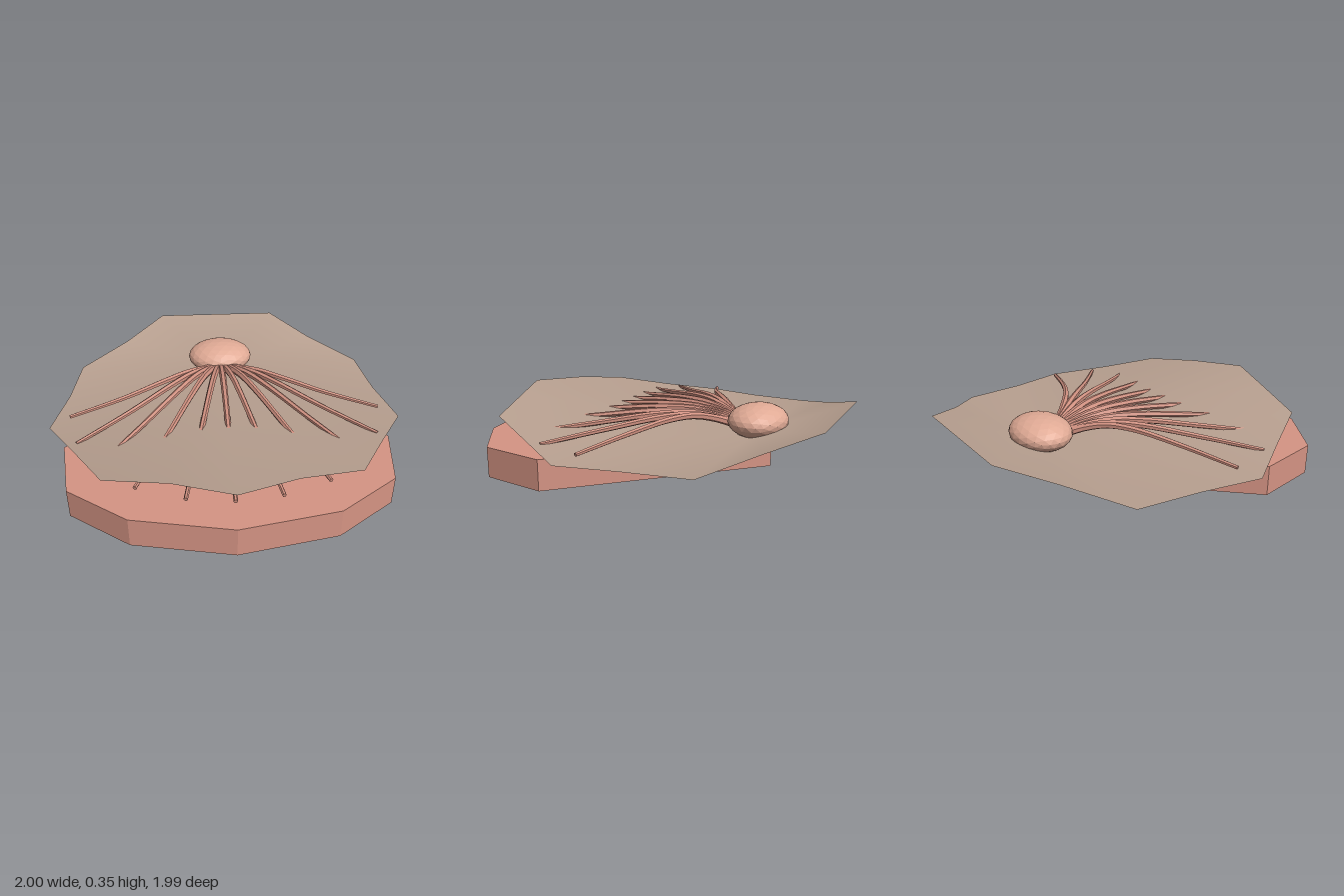
import * as THREE from 'three';

const mat = (color, extra = {}) => {
  const m = new THREE.MeshStandardMaterial({ color });
  return Object.assign(m, extra);
};

// mirrors a half outline (front to back) into a closed loop, sharing the points at x = 0
const mirrorLoop = (half) => [
  ...half,
  ...half.filter((p) => p[0] > 0).reverse().map(([x, ...rest]) => [-x, ...rest]),
];

function add(parent, name, geometry, material) {
  const mesh = new THREE.Mesh(geometry, material);
  mesh.name = name;
  parent.add(mesh);
  return mesh;
}

// thick wedge-shaped slab, a point at the back and a rounded fan at the front
function baseGeometry() {
  const loop = mirrorLoop([[0, 0.99], [0.52, 0.89], [0.84, 0.66], [0.9, 0.29], [0, -0.62]]);
  const shape = new THREE.Shape(loop.map(([x, z]) => new THREE.Vector2(x, -z)));
  return new THREE.ExtrudeGeometry(shape, { depth: 0.165, bevelEnabled: false }).rotateX(-Math.PI / 2);
}

// thin sheet fanned from the hub to a scalloped rim of x, y, z points
function sheetGeometry() {
  const rim = mirrorLoop([
    [0, 0.352, 0.96], [0.31, 0.332, 0.835], [0.65, 0.282, 0.73], [0.82, 0.23, 0.43],
    [1, 0.186, 0.13], [0.93, 0.184, -0.2], [0.89, 0.187, -0.55], [0.61, 0.255, -0.77],
    [0.375, 0.328, -1], [0, 0.328, -1],
  ]);
  const index = rim.flatMap((_, i) => [0, i + 1, ((i + 1) % rim.length) + 1]);
  const g = new THREE.BufferGeometry();
  g.setAttribute('position', new THREE.Float32BufferAttribute([0, 0.182, -0.53, ...rim.flat()], 3));
  g.setIndex(index);
  g.computeVertexNormals();
  return g;
}

// arched rod path: leaves the knob, rises, then flares out and down to its tip
function rodCurve(tipX, tipZ) {
  const plan = new THREE.QuadraticBezierCurve(
    new THREE.Vector2(tipX * 0.07, -0.42),
    new THREE.Vector2(tipX * 0.25, -0.16),
    new THREE.Vector2(tipX, tipZ),
  );
  const heights = [[0, 0.235], [0.15, 0.268], [0.32, 0.296], [0.5, 0.294], [0.75, 0.259], [1, 0.218]];
  return new THREE.CatmullRomCurve3(heights.map(([t, y]) => {
    const p = plan.getPoint(t);
    return new THREE.Vector3(p.x, y, p.y);
  }));
}

// tube whose rings shrink toward the tip
function taperedTube(curve, r0, r1, segments = 20, sides = 6) {
  const g = new THREE.TubeGeometry(curve, segments, r0, sides);
  const pos = g.attributes.position;
  const v = new THREE.Vector3();
  for (let i = 0; i < pos.count; i++) {
    const t = Math.floor(i / (sides + 1)) / segments;
    const c = curve.getPointAt(t);
    v.fromBufferAttribute(pos, i).sub(c).multiplyScalar(THREE.MathUtils.lerp(1, r1 / r0, t)).add(c);
    pos.setXYZ(i, v.x, v.y, v.z);
  }
  g.computeVertexNormals();
  return g;
}

export function createModel() {
  const model = new THREE.Group();
  model.name = 'fanOnBase';

  add(model, 'base', baseGeometry(), mat(0xd59484));
  add(model, 'sheet', sheetGeometry(), mat(0xb8a090, { side: THREE.DoubleSide }));

  // flattened faceted knob at the hub
  const knob = add(model, 'knob', new THREE.IcosahedronGeometry(1, 3), mat(0xe0aa95, { flatShading: true }));
  knob.scale.set(0.2, 0.095, 0.165);
  knob.position.set(0, 0.255, -0.54);

  // eleven rods spreading forward from the knob
  const rods = new THREE.Group();
  rods.name = 'rods';
  model.add(rods);
  const rodMat = mat(0xcf9080, { flatShading: true });
  const tips = mirrorLoop([[0, 0.85], [0.24, 0.82], [0.49, 0.72], [0.69, 0.54], [0.82, 0.33], [0.89, 0.07]]);
  for (const [x, z] of tips) {
    const curve = rodCurve(x, z);
    const rod = new THREE.Group();
    rod.name = 'rod';
    rods.add(rod);
    add(rod, 'rodShaft', taperedTube(curve, 0.022, 0.011), rodMat);
    const cap = add(rod, 'rodTip', new THREE.CircleGeometry(0.011, 6), rodMat);
    const end = curve.getPointAt(1);
    cap.position.copy(end);
    cap.lookAt(end.add(curve.getTangentAt(1)));
  }
  return model;
}
